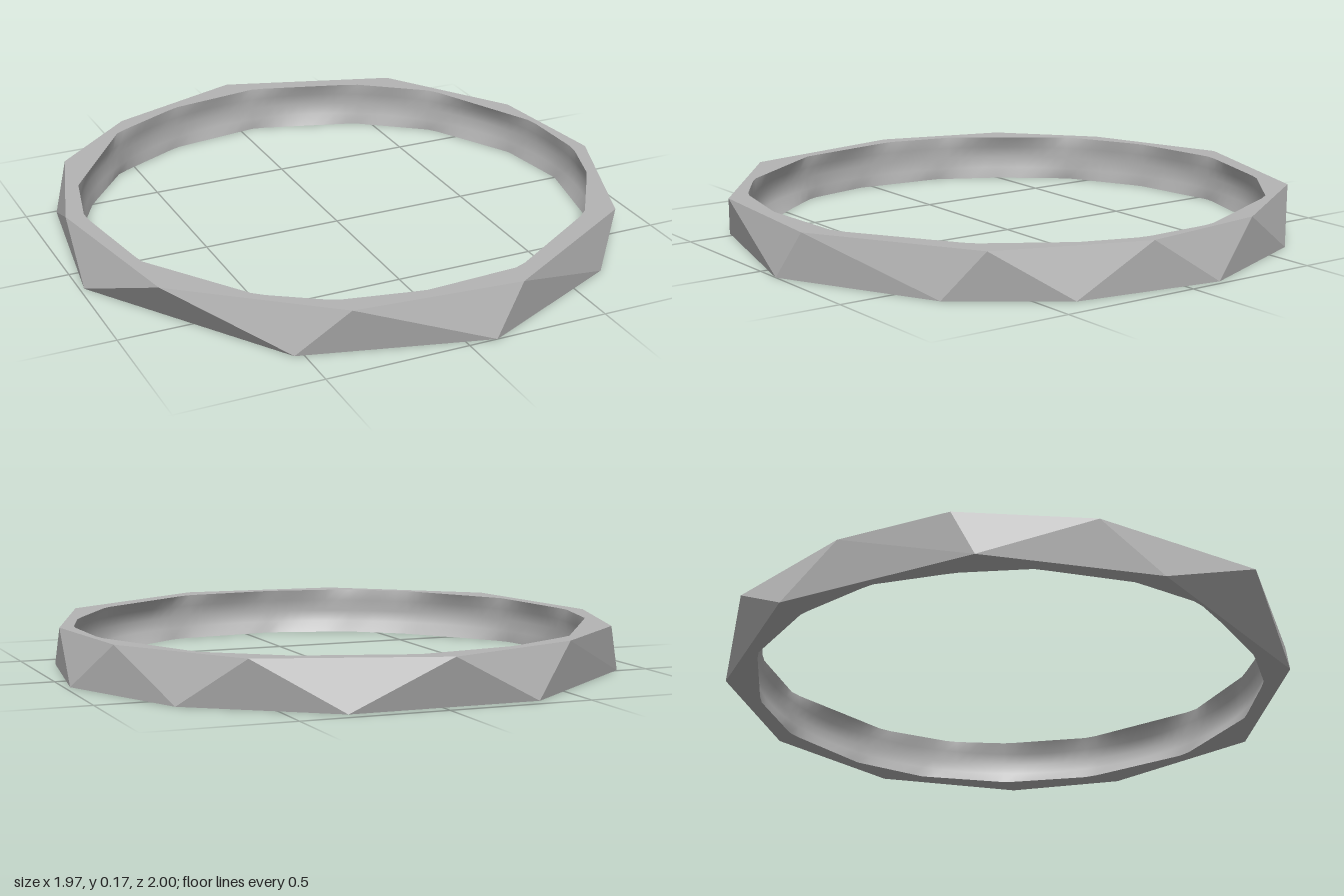
import * as THREE from 'three';
import { ConvexGeometry } from 'three/addons/geometries/ConvexGeometry.js';

const H = 0.167;

// Corner points [x, z], listed by increasing angle from +x towards +z
const outerTop = [[0.95, 0.12], [0.76, 0.63], [0.21, 0.965], [-0.37, 0.915], [-0.86, 0.52], [-0.97, -0.1],
  [-0.83, -0.55], [-0.52, -0.82], [-0.02, -1], [0.59, -0.8], [0.89, -0.35]];
const outerBottom = [[0.9, 0.39], [0.65, 0.73], [0.1, 1], [-0.53, 0.83], [-0.985, 0.12], [-0.89, -0.49],
  [-0.34, -0.95], [0.32, -0.95], [0.77, -0.62], [0.98, -0.13]];
const innerTop = [[0.9, 0.12], [0.83, 0.33], [0.65, 0.61], [0.25, 0.87], [-0.1, 0.89], [-0.39, 0.83],
  [-0.6, 0.69], [-0.85, 0.32], [-0.91, -0.08], [-0.85, -0.33], [-0.57, -0.72], [-0.29, -0.86],
  [0.06, -0.91], [0.44, -0.79], [0.69, -0.6], [0.89, -0.17]];
const innerBottom = [[0.9, 0], [0.83, 0.33], [0.65, 0.61], [0.3, 0.85], [-0.1, 0.89], [-0.4, 0.8],
  [-0.58, 0.66], [-0.75, 0.45], [-0.86, 0.3], [-0.91, 0.05], [-0.87, -0.28], [-0.75, -0.5],
  [-0.57, -0.72], [-0.29, -0.86], [0.06, -0.91], [0.44, -0.79], [0.69, -0.6], [0.86, -0.28]];

const SEGMENTS = 120;
const cross = (a, b) => a[0] * b[1] - a[1] * b[0];

// Resample a polygon around the origin at equal angles
function sampleLoop(polygon) {
  const loop = [];
  for (let i = 0; i < SEGMENTS; i++) {
    const angle = (i / SEGMENTS) * Math.PI * 2 + 0.001;
    const d = [Math.cos(angle), Math.sin(angle)];
    polygon.forEach((a, k) => {
      const b = polygon[(k + 1) % polygon.length];
      if (cross(a, d) < 0 || cross(d, b) <= 0) return;
      const edge = [b[0] - a[0], b[1] - a[1]];
      const r = cross(a, edge) / cross(d, edge);
      loop[i] = [d[0] * r, d[1] * r];
    });
  }
  return loop;
}

function circleLoop(radius) {
  return Array.from({ length: SEGMENTS }, (_, i) => {
    const angle = (i / SEGMENTS) * Math.PI * 2 + 0.001;
    return [Math.cos(angle) * radius, Math.sin(angle) * radius];
  });
}

// Faceted outside: hull of both outlines without its flat caps
function facetGeometry() {
  const points = [
    ...outerTop.map(([x, z]) => new THREE.Vector3(x, H, z)),
    ...outerBottom.map(([x, z]) => new THREE.Vector3(x, 0, z)),
  ];
  const hull = new ConvexGeometry(points);
  const p = hull.attributes.position, n = hull.attributes.normal;
  const positions = [];
  for (let i = 0; i < p.count; i += 3) {
    if (Math.abs(n.getY(i)) > 0.98) continue;
    for (let k = i; k < i + 3; k++) positions.push(p.getX(k), p.getY(k), p.getZ(k));
  }
  const geometry = new THREE.BufferGeometry();
  geometry.setAttribute('position', new THREE.Float32BufferAttribute(positions, 3));
  geometry.computeVertexNormals();
  return geometry;
}

// Flat rim between an outer outline and an inner loop
function rimGeometry(outer, inner, up) {
  const flip = up ? -1 : 1;
  const toShape = (list) => list.map(([x, z]) => new THREE.Vector2(x, z * flip));
  const shape = new THREE.Shape(toShape(outer));
  shape.holes.push(new THREE.Path(toShape(inner)));
  return new THREE.ShapeGeometry(shape).rotateX((flip * Math.PI) / 2);
}

// Smooth, slightly hollowed inside wall from loops, top to bottom
function innerWallGeometry(rows) {
  const positions = [], index = [];
  rows.forEach(({ y, loop }) => loop.forEach(([x, z]) => positions.push(x, y, z)));
  for (let j = 0; j < rows.length - 1; j++) {
    for (let i = 0; i < SEGMENTS; i++) {
      const next = (i + 1) % SEGMENTS;
      const a = j * SEGMENTS + i, b = j * SEGMENTS + next;
      const c = a + SEGMENTS, d = b + SEGMENTS;
      index.push(a, c, b, b, c, d);
    }
  }
  const geometry = new THREE.BufferGeometry();
  geometry.setAttribute('position', new THREE.Float32BufferAttribute(positions, 3));
  geometry.setIndex(index);
  geometry.computeVertexNormals();
  return geometry;
}

export function createModel() {
  const group = new THREE.Group();
  group.name = 'facetedBangle';
  const metal = new THREE.MeshStandardMaterial({ color: 0xb4b4b4 });
  metal.name = 'grey metal';

  const add = (name, geometry, y = 0) => {
    const mesh = new THREE.Mesh(geometry, metal);
    mesh.name = name;
    mesh.position.y = y;
    group.add(mesh);
  };

  const topLoop = sampleLoop(innerTop);
  const bottomLoop = sampleLoop(innerBottom);

  add('outerFacets', facetGeometry());
  add('topRim', rimGeometry(outerTop, topLoop, true), H);
  add('bottomRim', rimGeometry(outerBottom, bottomLoop, false));
  add('innerWall', innerWallGeometry([
    { y: H, loop: topLoop },
    { y: 0.125, loop: circleLoop(0.905) },
    { y: 0.083, loop: circleLoop(0.915) },
    { y: 0.042, loop: circleLoop(0.905) },
    { y: 0, loop: bottomLoop },
  ]));
  return group;
}
